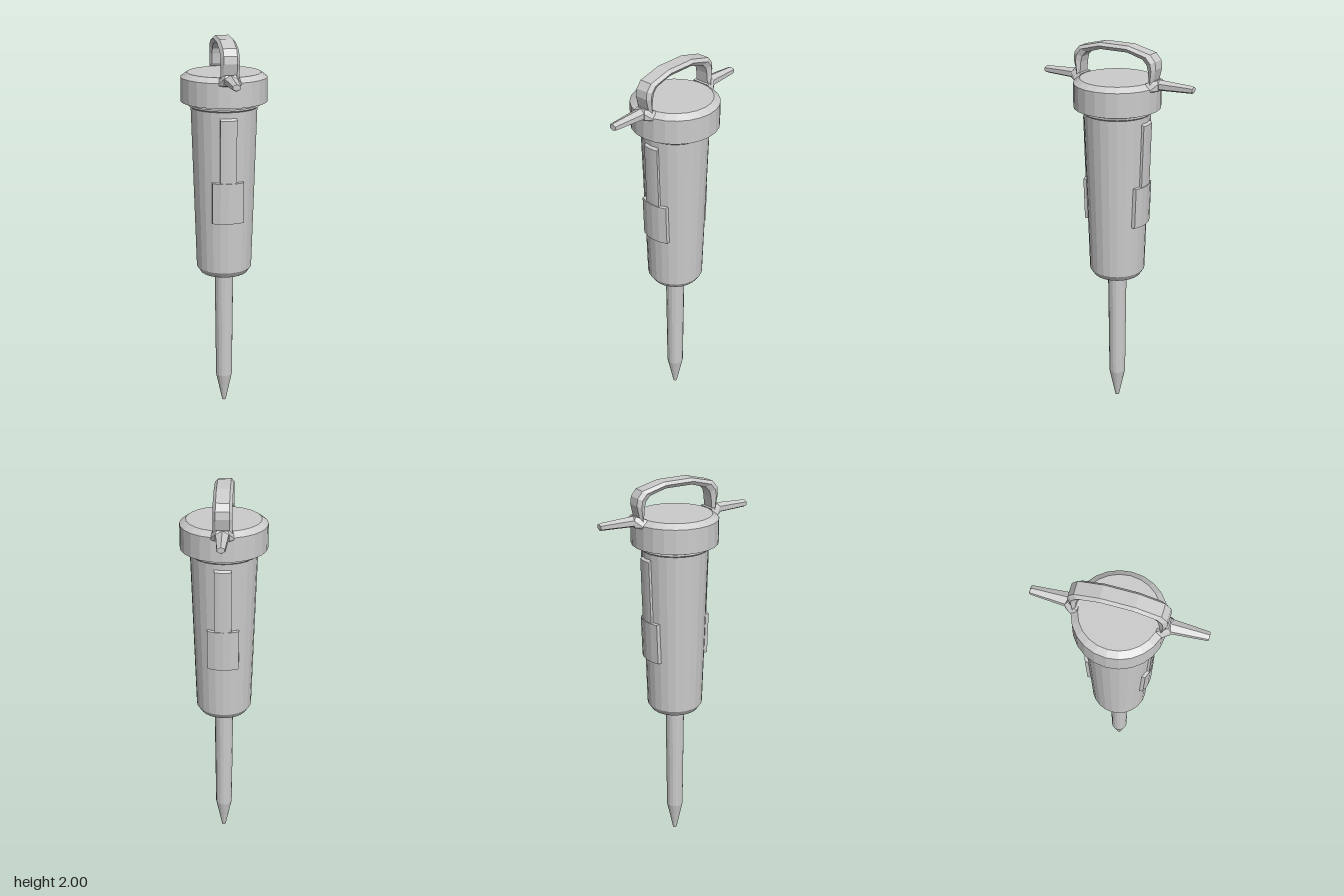
import * as THREE from 'three';
import { ConvexGeometry } from 'three/addons/geometries/ConvexGeometry.js';

const SIDES = 24;
const material = new THREE.MeshStandardMaterial({ color: 0xcccccc, flatShading: true });

function part(name, geometry) {
  const mesh = new THREE.Mesh(geometry, material);
  mesh.name = name;
  return mesh;
}

// Turned part from [radius, y] pairs, bottom to top
function turned(name, profile, sides = SIDES) {
  return part(name, new THREE.LatheGeometry(profile.map(([r, y]) => new THREE.Vector2(r, y)), sides));
}

// Skin over equal cross-sections, capped at both ends; each runs anticlockwise about the travel direction
function loft(rings) {
  const n = rings[0].length, index = [];
  for (let k = 0; k < rings.length - 1; k++) {
    for (let i = 0; i < n; i++) {
      const a = k * n + i, b = k * n + (i + 1) % n;
      index.push(a, b, b + n, a, b + n, a + n);
    }
  }
  const last = (rings.length - 1) * n;
  for (let i = 1; i < n - 1; i++) {
    index.push(0, i + 1, i, last, last + i, last + i + 1);
  }
  const geometry = new THREE.BufferGeometry();
  geometry.setAttribute('position', new THREE.Float32BufferAttribute(rings.flat(2), 3));
  geometry.setIndex(index);
  geometry.computeVertexNormals();
  return geometry;
}

const bodyRadius = y => 0.145 + (y - 0.8) * 0.0294;

// Raised panel wrapped around the tapered body, with a sloped top edge
function wrappedPanel(name, halfWidth, y0, y1, thickness, slope) {
  const geometry = new THREE.BoxGeometry(2 * halfWidth, y1 - y0, 1, 4, 1, 1);
  geometry.translate(0, (y0 + y1) / 2, 0);
  const p = geometry.attributes.position;
  for (let i = 0; i < p.count; i++) {
    const x = p.getX(i), outer = p.getZ(i) > 0;
    let y = p.getY(i);
    if (outer && y > y1 - 0.001) y -= slope;
    const r = bodyRadius(y) + (outer ? thickness : -0.012);
    p.setXYZ(i, x, y, Math.sqrt(r * r - x * x));
  }
  geometry.computeVertexNormals();
  return part(name, geometry);
}

// Carrying handle: arch running front to back with a bevelled section
function archHandle() {
  // [outer z, outer y, inner z, inner y]
  const half = [
    [0.215, 1.79, 0.19, 1.79],
    [0.218, 1.84, 0.195, 1.835],
    [0.232, 1.9, 0.19, 1.89],
    [0.227, 1.937, 0.183, 1.918],
    [0.2, 1.97, 0.16, 1.943],
    [0.08, 2.0, 0.075, 1.968],
  ];
  const path = [...half, ...half.slice().reverse().map(([a, b, c, d]) => [-a, b, -c, d])];
  const rings = path.map(([oz, oy, iz, iy]) => {
    const mz = oz + (iz - oz) * 0.45, my = oy + (iy - oy) * 0.45;
    return [
      [-0.033, oy, oz], [0.033, oy, oz], [0.047, my, mz],
      [0.035, iy, iz], [-0.035, iy, iz], [-0.047, my, mz],
    ];
  });
  return part('carryHandle', loft(rings));
}

// Six-sided grip that narrows towards its end
function sideGrip() {
  const sections = [[0.235, 0.037, 0.027], [0.412, 0.023, 0.019], [0.42, 0.02, 0.015]];
  const rings = sections.map(([z, rx, ry]) => Array.from({ length: 6 }, (_, i) => {
    const a = Math.PI / 2 + i * Math.PI / 3;
    return [rx * Math.cos(a), 1.82 + ry * Math.sin(a), z];
  }));
  return part('sideGrip', loft(rings));
}

// Flared bracket joining grip and carrying handle to the cap
function gripBracket() {
  const points = [];
  for (const s of [-1, 1]) {
    points.push(
      new THREE.Vector3(s * 0.058, 1.79, 0.2),
      new THREE.Vector3(s * 0.048, 1.832, 0.185),
      new THREE.Vector3(s * 0.058, 1.8, 0.212),
      new THREE.Vector3(s * 0.034, 1.8, 0.247),
      new THREE.Vector3(s * 0.034, 1.832, 0.247),
      new THREE.Vector3(s * 0.025, 1.848, 0.235),
      new THREE.Vector3(s * 0.025, 1.793, 0.24),
    );
  }
  return part('gripBracket', new ConvexGeometry(points));
}

export function createModel() {
  const model = new THREE.Group();
  model.name = 'jackhammer';

  // Chisel with tapered point
  model.add(turned('chisel', [[0, 0], [0.01, 0], [0.044, 0.16], [0.05, 0.78]], 16));

  // Tapered body with chamfered foot and a thin top rim
  model.add(turned('body', [
    [0, 0.77], [0.125, 0.77], [0.145, 0.8], [0.17, 1.652],
    [0.181, 1.66], [0.18, 1.668], [0.105, 1.67],
  ]));
  model.add(turned('neck', [[0.105, 1.66], [0.105, 1.69]]));

  // Cap
  model.add(turned('cap', [[0, 1.682], [0.22, 1.682], [0.22, 1.805], [0.188, 1.828], [0, 1.828]]));

  model.add(archHandle());

  // Matching front and back fittings
  for (const name of ['front', 'back']) {
    const side = new THREE.Group();
    side.name = name + 'Fittings';
    side.add(
      sideGrip(),
      gripBracket(),
      wrappedPanel('upperPanel', 0.042, 1.28, 1.63, 0.012, 0.018),
      wrappedPanel('lowerPanel', 0.08, 1.075, 1.293, 0.016, 0.004),
    );
    if (name === 'back') side.rotation.y = Math.PI;
    model.add(side);
  }
  return model;
}
